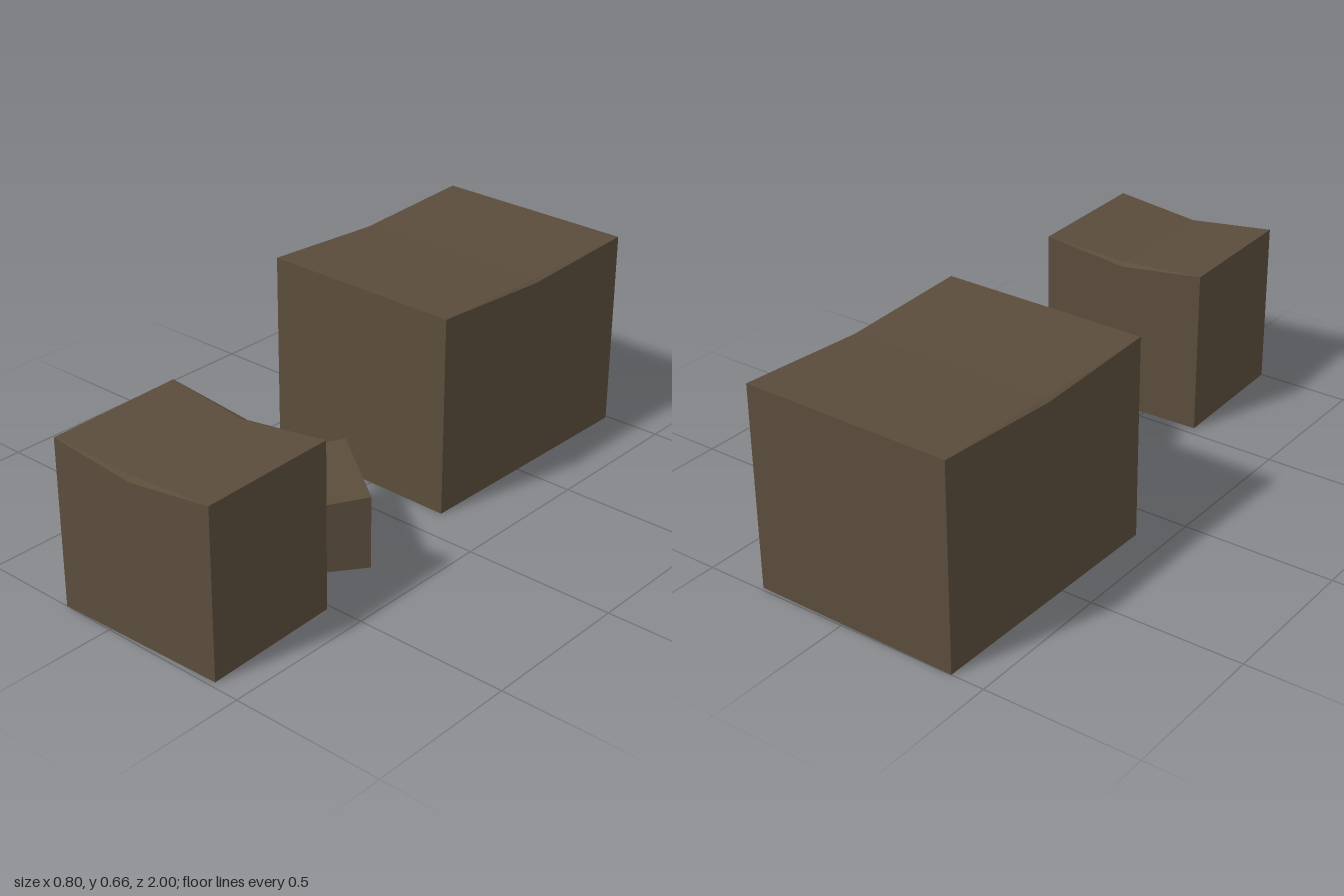
import * as THREE from 'three';

// Crate whose lid sags into a valley halfway along x; the sagging rim is pulled in at both z ends.
function saggingBox(length, depth, h, rimSag, lidSag, inset) {
  const a = length / 2, b = depth / 2;
  const positions = [];
  const face = (...p) => {
    for (let i = 1; i < p.length - 1; i++) positions.push(...p[0], ...p[i], ...p[i + 1]);
  };
  // each pass builds one half; the second is the first turned by 180 degrees
  for (const s of [1, -1]) {
    const mid = [0, h - rimSag, s * b];
    const fold = [0, h - lidSag, s * (b - inset)];
    const farFold = [0, h - lidSag, -s * (b - inset)];
    const left = [-s * a, h, s * b], right = [s * a, h, s * b], farRight = [s * a, h, -s * b];
    // end wall with a dented upper edge
    face(mid, left, [-s * a, 0, s * b], [s * a, 0, s * b], right);
    // folded rim between wall and lid
    face(mid, right, fold);
    face(mid, fold, left);
    // straight side wall
    face([s * a, 0, s * b], [s * a, 0, -s * b], farRight, right);
    // lid half
    face(fold, right, farRight, farFold);
  }
  // underside
  face([-a, 0, -b], [a, 0, -b], [a, 0, b], [-a, 0, b]);
  const geometry = new THREE.BufferGeometry();
  geometry.setAttribute('position', new THREE.Float32BufferAttribute(positions, 3));
  geometry.computeVertexNormals();
  return geometry;
}

export function createModel() {
  const group = new THREE.Group();
  group.name = 'boxes';
  const brown = new THREE.MeshStandardMaterial({ color: 0x5a4c3b });
  brown.name = 'dull brown';

  const addBox = (name, x, z, turn, ...size) => {
    const mesh = new THREE.Mesh(saggingBox(...size), brown);
    mesh.name = name;
    mesh.position.set(x, 0, z);
    mesh.rotation.y = turn;
    group.add(mesh);
  };
  const quarter = Math.PI / 2;
  addBox('largeBox', -0.049, -0.558, quarter - 0.0145, 0.874, 0.697, 0.663, 0.023, 0.016, 0.016);
  addBox('mediumBox', 0.103, 0.758, 0.03, 0.582, 0.465, 0.548, 0.036, 0.026, 0.02);
  addBox('smallBox', 0.102, 0.271, quarter - 0.64, 0.287, 0.367, 0.24, 0.012, 0.007, 0.008);
  return group;
}
